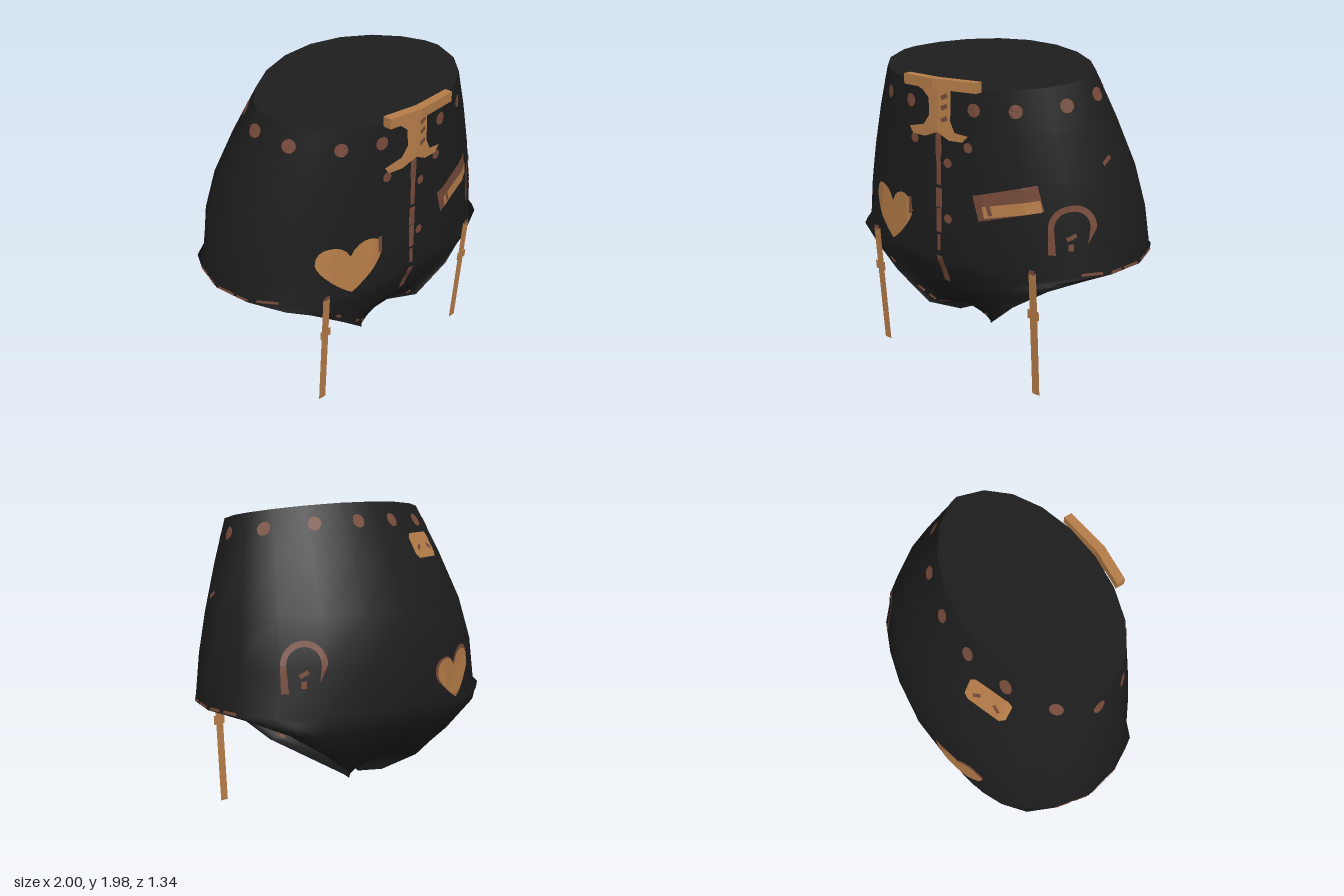
import * as THREE from 'three';
import { mergeGeometries, mergeVertices } from 'three/addons/utils/BufferGeometryUtils.js';

const SEG = 20; // columns around the body

function loft(rows) {
  const pos = [], idx = [], n = rows[0].length;
  rows.forEach(r => r.forEach(p => pos.push(...p)));
  for (let i = 0; i < rows.length - 1; i++) {
    for (let j = 0; j < n - 1; j++) {
      const a = i * n + j, b = a + 1, c = a + n, d = c + 1;
      idx.push(a, c, b, b, c, d);
    }
  }
  const g = new THREE.BufferGeometry();
  g.setAttribute('position', new THREE.Float32BufferAttribute(pos, 3));
  g.setIndex(idx);
  return g;
}

// Tilted oval: front y, back y, half width, centre z, front z, back z, front and back roundness
function ring([yf, yb, hx, zc, zf, zb, ef, eb]) {
  const pts = [];
  for (let j = 0; j <= SEG; j++) {
    const t = -Math.PI + (j / SEG) * Math.PI * 2, cos = Math.cos(t);
    const c = cos > 0 ? cos ** ef : -((-cos) ** eb);
    pts.push([hx * Math.sin(t), (yf + yb) / 2 + (yf - yb) / 2 * c, zc + c * (c > 0 ? zf - zc : zc - zb)]);
  }
  return pts;
}

// Cross-section from hem to hem: hem x, y, z, then centre y, z and roundness
function station([hx, hy, hz, cy, cz, e = 1]) {
  const pts = [], power = hx < 0.1 ? 8 : hx < 0.2 ? 4 : 2;
  for (let j = 0; j <= SEG / 2; j++) {
    const a = -Math.PI / 2 + (j / SEG) * Math.PI * 2, s = Math.sin(a);
    pts.push([hx * s, cy + (hy - cy) * Math.abs(s) ** power, hz + (cz - hz) * Math.abs(Math.cos(a)) ** e]);
  }
  return pts;
}

const WAIST = [1.83, 1.98, 0.715, 0.12, 0.61, -0.28, 0.92, 1.4];
const RINGS = [
  WAIST,
  [1.6, 1.66, 0.81, 0.08, 0.62, -0.45, 0.9, 1.12],
  [1.33, 1.35, 0.9, 0.04, 0.625, -0.6, 0.88, 1],
  [1.08, 1.08, 0.96, 0.02, 0.63, -0.67, 0.87, 0.95],
  [0.79, 0.79, 1, 0, 0.64, -0.67, 0.86, 0.92],
];
// From the front hip, under the crotch, up to the back hip
const STATIONS = [
  [1, 0.79, 0, 0.79, 0.64, 0.86],
  [0.87, 0.78, 0.38, 0.69, 0.59],
  [0.68, 0.7, 0.495, 0.6, 0.56],
  [0.46, 0.55, 0.53, 0.5, 0.5],
  [0.25, 0.36, 0.47, 0.41, 0.42],
  [0.13, 0.28, 0.3, 0.36, 0.29],
  [0.06, 0.22, -0.1, 0.34, -0.05],
  [0.14, 0.255, -0.25, 0.38, -0.25],
  [0.28, 0.37, -0.42, 0.42, -0.43],
  [0.5, 0.53, -0.47, 0.54, -0.55],
  [0.74, 0.69, -0.45, 0.67, -0.63],
  [0.92, 0.77, -0.26, 0.73, -0.655, 0.95],
  [1, 0.79, 0, 0.79, -0.67, 0.92],
];

const poly = pts => new THREE.Shape(pts.map(p => new THREE.Vector2(...p)));
const rect = (w, h) => poly([[-w / 2, -h / 2], [w / 2, -h / 2], [w / 2, h / 2], [-w / 2, h / 2]]);
const disc = r => new THREE.Shape().absarc(0, 0, r, 0, Math.PI * 2);

function heartShape(w, h) {
  const s = new THREE.Shape();
  s.moveTo(0, -h / 2);
  s.bezierCurveTo(w * 0.15, -h * 0.4, w * 0.5, 0, w * 0.5, h * 0.22);
  s.bezierCurveTo(w * 0.5, h * 0.6, w * 0.12, h * 0.6, 0, h * 0.25);
  s.bezierCurveTo(-w * 0.12, h * 0.6, -w * 0.5, h * 0.6, -w * 0.5, h * 0.22);
  s.bezierCurveTo(-w * 0.5, 0, -w * 0.15, -h * 0.4, 0, -h / 2);
  return s;
}

function archShape() {
  const s = new THREE.Shape();
  s.moveTo(0.14, -0.07);
  s.absarc(0, 0.01, 0.135, 0, Math.PI, false);
  s.lineTo(-0.13, -0.15);
  s.lineTo(-0.085, -0.15);
  s.absarc(0, 0.01, 0.1, Math.PI, 0, true);
  s.lineTo(0.09, -0.09);
  return s;
}

// Halves a flat triangle across its longest edge until it is small
function split(a, b, c, out) {
  const ab = a.distanceTo(b), bc = b.distanceTo(c), ca = c.distanceTo(a);
  const longest = Math.max(ab, bc, ca);
  if (longest < 0.05) {
    out.push(a, b, c);
  } else if (longest === ab) {
    const mid = a.clone().add(b).multiplyScalar(0.5);
    split(a, mid, c, out);
    split(mid, b, c, out);
  } else if (longest === bc) {
    split(b, c, a, out);
  } else {
    split(c, a, b, out);
  }
}

export function createModel() {
  const model = new THREE.Group();
  const mat = (name, color) => {
    const m = new THREE.MeshStandardMaterial({ color, side: THREE.DoubleSide });
    m.name = name;
    return m;
  };
  const black = mat('black cloth', 0x1d1d1d), tan = mat('tan leather', 0xb67d49), brown = mat('brown trim', 0x764a3a);
  const add = (name, geo, m) => {
    const mesh = new THREE.Mesh(geo, m);
    mesh.name = name;
    model.add(mesh);
    return mesh;
  };

  // Shorts body and waist panel
  const bodyGeo = mergeVertices(mergeGeometries([loft(RINGS.map(ring)), loft(STATIONS.map(station))]), 1e-4);
  bodyGeo.computeVertexNormals();
  const body = add('shortsBody', bodyGeo, black);
  const rim = ring(WAIST);
  const cap = loft([rim.map(() => [0, 1.9, 0.16]), rim]);
  cap.computeVertexNormals();
  add('waistPanel', cap, black);

  // Lays a flat shape on the cloth, both outside and inside
  const caster = new THREE.Raycaster();
  function patch(name, shape, m, [x, y, z], phi = 0, rot = 0, lift = 0.005) {
    const n = new THREE.Vector3(Math.sin(phi), 0, Math.cos(phi));
    const u = new THREE.Vector3(Math.cos(phi), 0, -Math.sin(phi));
    const flat = new THREE.ShapeGeometry(shape, 8).rotateZ(rot).toNonIndexed().attributes.position;
    const at = i => new THREE.Vector2(flat.getX(i), flat.getY(i));
    const tris = [], outer = [], inner = [];
    for (let i = 0; i < flat.count; i += 3) split(at(i), at(i + 1), at(i + 2), tris);
    for (let i = 0; i < tris.length; i += 3) {
      const hits = tris.slice(i, i + 3).map(p => {
        const o = new THREE.Vector3(x, y + p.y, z).addScaledVector(u, p.x).addScaledVector(n, 2);
        caster.set(o, n.clone().negate());
        return caster.intersectObject(body)[0]?.point;
      });
      if (hits.some(h => !h)) continue;
      hits.forEach(h => outer.push(...h.clone().addScaledVector(n, lift).toArray()));
      hits.reverse().forEach(h => inner.push(...h.clone().addScaledVector(n, -lift).toArray()));
    }
    const g = new THREE.BufferGeometry();
    g.setAttribute('position', new THREE.Float32BufferAttribute([...outer, ...inner], 3));
    g.computeVertexNormals();
    add(name, g, m);
  }

  // Studs around the waistband: x, y, z
  const studs = [[0.235, 1.72, 0.6], [0.475, 1.73, 0.53], [0.69, 1.76, 0.34], [0.76, 1.8, 0.13],
    [0.62, 1.83, -0.07], [0.38, 1.86, -0.22], [0.13, 1.87, -0.31]];
  for (const side of [-1, 1]) {
    for (const [x, y, z] of studs) patch('waistStud', disc(0.039), brown, [side * x, y, z], Math.atan2(side * x, (z - 0.12) * 1.6));
    patch('flyStud', disc(0.03), brown, [side * 0.2, 1.5, 0]);
  }

  // Front fly stitching
  for (const [y, h, w] of [[1.5, 0.14, 0.045], [1.34, 0.18, 0.035], [1.17, 0.12, 0.045], [1.03, 0.15, 0.04], [0.89, 0.1, 0.025], [0.71, 0.19, 0.045]])
    patch('flyStitch', rect(w, h), brown, [-0.005, y, 0]);
  for (const y of [1.39, 1.05]) patch('flyButton', disc(0.028), brown, [0.06, y, 0]);

  // Buckle with a raised bar along the waist edge
  patch('buckle', poly([[-0.2, 1.825], [-0.12, 1.8], [-0.07, 1.76], [-0.065, 1.66], [-0.11, 1.6], [-0.23, 1.57],
    [-0.2, 1.53], [-0.1, 1.53], [0, 1.57], [0.08, 1.53], [0.17, 1.53], [0.21, 1.57], [0.12, 1.58], [0.09, 1.64],
    [0.09, 1.825]]), tan, [0, 0, 0], 0, 0, 0.018);
  for (const y of [1.78, 1.72, 1.65]) patch('buckleHole', rect(0.045, 0.025), brown, [0.05, y, 0], 0, 0.5, 0.022);
  const bar = poly([[-0.23, -0.595], [0, -0.615], [0.28, -0.58], [0.28, -0.63], [0, -0.67], [-0.23, -0.65]]);
  const barGeo = new THREE.ExtrudeGeometry(bar, { depth: 0.06, bevelEnabled: false });
  add('buckleBar', barGeo.rotateX(-Math.PI / 2).translate(0, 1.825, 0), tan);

  // Hearts
  patch('frontHeart', heartShape(0.41, 0.33), tan, [-0.44, 0.965, 0]);
  patch('frontHeartEdge', rect(0.025, 0.11), brown, [-0.25, 1.07, 0], 0, 0, 0.008);
  const rear = Math.PI * 1.14;
  patch('backHeartEdge', heartShape(0.4, 0.3), brown, [-0.42, 0.915, -0.6], rear, 0.2);
  patch('backHeart', heartShape(0.375, 0.285), tan, [-0.42, 0.905, -0.6], rear, 0.15, 0.009);

  // Front label
  patch('frontLabel', rect(0.38, 0.155), brown, [0.435, 1.2, 0], 0, 0.27);
  patch('frontLabelFace', rect(0.33, 0.07), tan, [0.465, 1.17, 0], 0, 0.22, 0.009);
  patch('frontLabelMark', rect(0.025, 0.06), brown, [0.34, 1.15, 0], 0, 0.3, 0.012);

  // Back label with clipped corners
  patch('backLabel', poly([[-0.14, -0.05], [-0.11, -0.075], [0.11, -0.075], [0.14, -0.05], [0.14, 0.05], [0.11, 0.075],
    [-0.11, 0.075], [-0.14, 0.05]]), tan, [-0.355, 1.71, -0.3], Math.PI * 1.1);
  for (const dx of [-0.07, 0.07]) patch('backLabelMark', rect(0.05, 0.022), brown, [-0.355 + dx, 1.7, -0.3], Math.PI * 1.1, dx * 8, 0.009);

  // Arch emblems on the left hip, front and back
  for (const [x, y, z, phi] of [[0.785, 1.07, 0.42, 0.45], [0.7, 1.08, -0.54, 2.5]]) {
    patch('hipArch', archShape(), brown, [x, y, z], phi);
    patch('hipArchMark', rect(0.06, 0.025), brown, [x, y - 0.04, z], phi, 0.5);
    patch('hipArchMark', rect(0.03, 0.04), brown, [x, y - 0.1, z], phi);
  }

  // Broken stitching along the hems, and a loose thread on the left side
  for (const side of [-1, 1])
    for (const [z, w] of [[0.33, 0.1], [0.2, 0.08], [0.08, 0.12], [-0.06, 0.08], [-0.18, 0.1]])
      patch('hemStitch', rect(w, 0.018), brown, [side * 0.95, 0.803, z], side * Math.PI / 2);
  for (const [x, y, rot] of [[-0.3, 0.45, -0.7], [-0.23, 0.4, -0.7], [-0.17, 0.37, -0.2], [0.19, 0.39, 0.6], [-0.5, 0.62, -0.6]])
    patch('hemStitch', rect(0.05, 0.018), brown, [x, y, 0], 0, rot);
  patch('sideThread', rect(0.07, 0.025), brown, [0.85, 1.44, 0.17], Math.PI / 2, 0.5);

  // Garter straps with sliders
  for (const side of [-1, 1]) {
    const strap = new THREE.Group();
    strap.name = 'garterStrap';
    const piece = (name, w, h, y, m, dz) => {
      const mesh = new THREE.Mesh(new THREE.PlaneGeometry(w, h), m);
      mesh.name = name;
      mesh.position.set(0, y, dz);
      strap.add(mesh);
    };
    piece('strapBand', 0.052, 0.82, 0.41, tan, 0);
    piece('strapSlider', 0.08, 0.06, 0.55, tan, 0.003);
    piece('strapClip', 0.04, 0.03, 0.825, brown, 0.003);
    strap.position.set(side * 0.61, 0, 0.496);
    strap.rotation.x = 0.066;
    model.add(strap);
  }
  return model;
}
